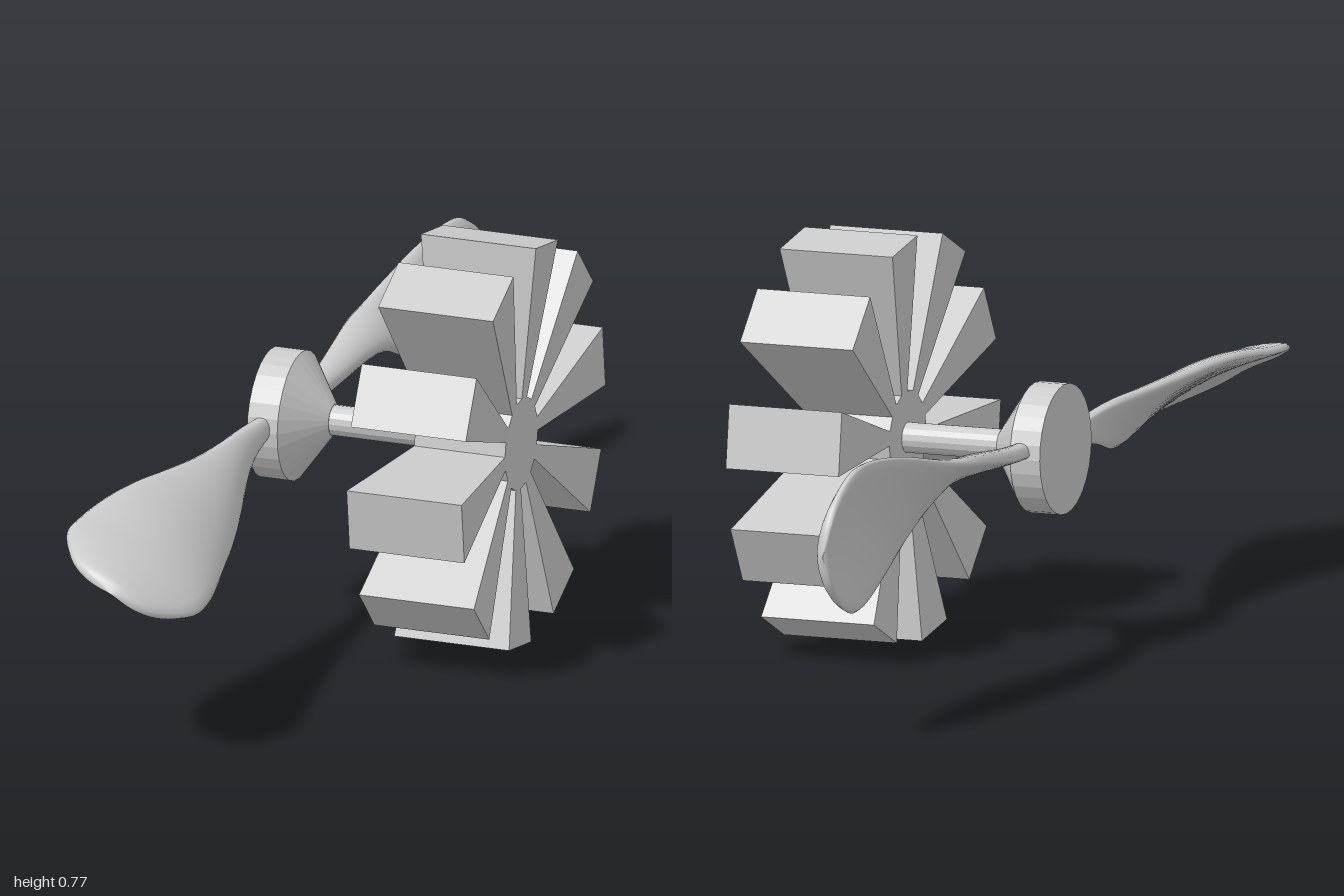
import * as THREE from 'three';

const grey = new THREE.MeshStandardMaterial({ color: 0xcccccc });
const faceted = new THREE.MeshStandardMaterial({ color: 0xcccccc, flatShading: true });
const deg = Math.PI / 180;

function add(parent, name, geometry, material) {
  const mesh = new THREE.Mesh(geometry, material);
  mesh.name = name;
  parent.add(mesh);
  return mesh;
}

// Paddle wheel: outer and core radius, and half widths along the axle
const R = 0.385, CORE = 0.088, HALF_OUT = 0.114, HALF_CORE = 0.09;
const polar = (r, a) => new THREE.Vector2(r * Math.cos(a * deg), r * Math.sin(a * deg));

// Prism along x whose width grows with the radius
function wheelPrism(points) {
  const geo = new THREE.ExtrudeGeometry(new THREE.Shape(points), { depth: 1, bevelEnabled: false });
  const p = geo.attributes.position;
  for (let i = 0; i < p.count; i++) {
    const t = (Math.hypot(p.getX(i), p.getY(i)) - CORE) / (R - CORE);
    const half = HALF_CORE + t * (HALF_OUT - HALF_CORE);
    p.setZ(i, p.getZ(i) > 0.5 ? half : -half);
  }
  geo.rotateY(Math.PI / 2);
  geo.computeVertexNormals();
  return geo;
}

function paddleWheel() {
  const wheel = new THREE.Group();
  wheel.name = 'paddleWheel';
  const ring = [];
  for (let i = 0; i < 20; i++) ring.push(polar(CORE, 18 * i));
  add(wheel, 'wheelCore', wheelPrism(ring), faceted);
  for (let i = 0; i < 10; i++) {
    const a = 72 + 36 * i, b = a + 18;
    add(wheel, 'paddle', wheelPrism([polar(CORE, a), polar(R, a), polar(R, b), polar(CORE, b)]), faceted);
  }
  return wheel;
}

// Twisted propeller blade; rows: distance, centre x, centre y, chord, chord angle, thickness
function propellerBlade(rows, side) {
  const centre = new THREE.CatmullRomCurve3(rows.map(r => new THREE.Vector3(r[0], r[1], r[2])), false, 'catmullrom');
  const section = new THREE.CatmullRomCurve3(rows.map(r => new THREE.Vector3(r[3], r[4], r[5])), false, 'catmullrom');
  const steps = (rows.length - 1) * 4, around = 24;
  const pos = [], index = [];
  for (let i = 0; i <= steps; i++) {
    const c = centre.getPoint(i / steps), s = section.getPoint(i / steps);
    const cos = Math.cos(s.y * deg), sin = Math.sin(s.y * deg);
    for (let j = 0; j < around; j++) {
      const f = j / around * Math.PI * 2;
      const u = s.x / 2 * Math.cos(f);
      // squarish rim and a slight camber
      const w = Math.sign(Math.sin(f)) * Math.pow(Math.abs(Math.sin(f)), 0.6);
      const v = s.z / 2 * w + side * 0.08 * s.x * (0.5 - Math.cos(f) ** 2);
      pos.push(c.y + u * cos - v * sin, c.z + u * sin + v * cos, side * c.x);
    }
  }
  for (let i = 0; i < steps; i++) {
    for (let j = 0; j < around; j++) {
      const k = (j + 1) % around;
      const a = i * around + j, b = i * around + k, c = a + around, d = b + around;
      if (side > 0) index.push(a, b, c, b, d, c);
      else index.push(a, c, b, b, c, d);
    }
  }
  const geo = new THREE.BufferGeometry();
  geo.setAttribute('position', new THREE.Float32BufferAttribute(pos, 3));
  geo.setIndex(index);
  geo.computeVertexNormals();
  return geo;
}

const frontRows = [
  [0.08, -0.2, 0.395, 0.04, -90, 0.03],
  [0.2, -0.195, 0.39, 0.07, -80, 0.034],
  [0.37, -0.178, 0.372, 0.135, -58, 0.036],
  [0.5, -0.172, 0.368, 0.19, -47, 0.036],
  [0.6, -0.17, 0.37, 0.23, -41, 0.036],
  [0.7, -0.168, 0.37, 0.265, -35, 0.035],
  [0.8, -0.167, 0.366, 0.29, -29, 0.034],
  [0.88, -0.166, 0.362, 0.285, -28, 0.032],
  [0.95, -0.166, 0.356, 0.21, -28, 0.03],
  [0.985, -0.165, 0.352, 0.12, -28, 0.026],
  [1, -0.165, 0.35, 0, -28, 0],
];
const backRows = [
  [0.08, -0.182, 0.4, 0.04, 170, 0.03],
  [0.2, -0.184, 0.405, 0.05, 160, 0.034],
  [0.4, -0.185, 0.424, 0.085, 148, 0.036],
  [0.5, -0.178, 0.415, 0.12, 128, 0.036],
  [0.6, -0.165, 0.396, 0.19, 113, 0.036],
  [0.7, -0.159, 0.386, 0.245, 103, 0.035],
  [0.8, -0.156, 0.379, 0.28, 96, 0.034],
  [0.88, -0.155, 0.375, 0.275, 92, 0.032],
  [0.95, -0.155, 0.37, 0.2, 90, 0.03],
  [0.985, -0.155, 0.368, 0.115, 90, 0.026],
  [1, -0.155, 0.366, 0, 90, 0],
];

export function createModel() {
  const model = new THREE.Group();
  model.name = 'propellerAndWheel';

  // Axle assembly, tilted very slightly
  const axle = new THREE.Group();
  axle.name = 'axleAssembly';
  axle.position.set(0, 0.387, -0.016);
  axle.rotation.z = -0.012;
  model.add(axle);

  const wheel = paddleWheel();
  wheel.position.x = 0.182;
  axle.add(wheel);

  const shaft = add(axle, 'shaft', new THREE.CylinderGeometry(0.029, 0.029, 0.24, 16), faceted);
  shaft.rotation.z = -Math.PI / 2;
  shaft.position.x = 0;

  // Hub: a disc with a cone narrowing to the shaft
  const hubProfile = [[0, -0.227], [0.123, -0.227], [0.123, -0.167], [0.03, -0.1], [0, -0.1]];
  const hub = add(axle, 'hub',
    new THREE.LatheGeometry(hubProfile.map(([r, h]) => new THREE.Vector2(r, h)), 28), faceted);
  hub.rotation.z = -Math.PI / 2;

  add(model, 'frontPropellerBlade', propellerBlade(frontRows, 1), grey);
  add(model, 'backPropellerBlade', propellerBlade(backRows, -1), grey);
  return model;
}
